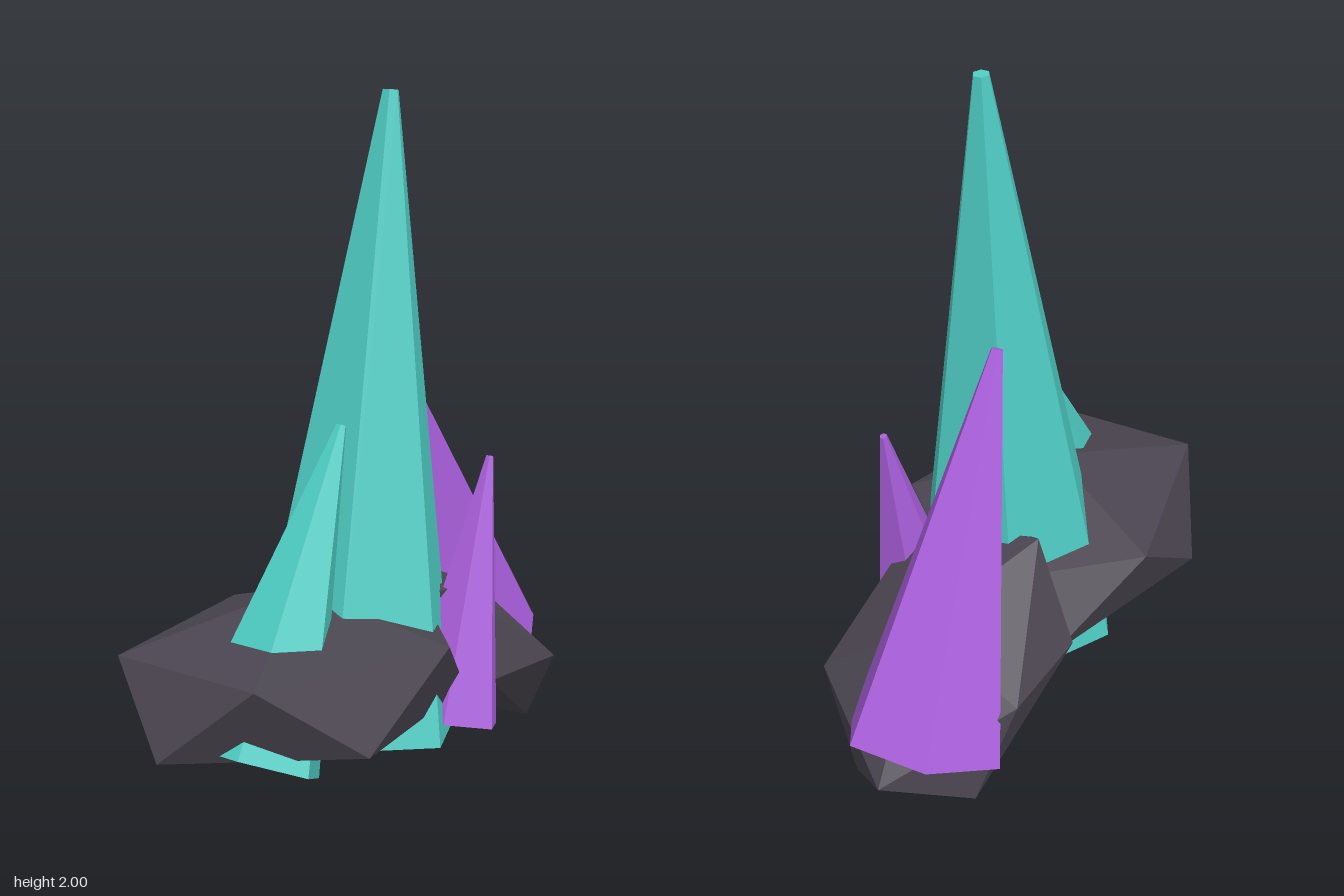
import * as THREE from 'three';

const material = (color) => new THREE.MeshStandardMaterial({ color, flatShading: true });

export function createModel() {
  const model = new THREE.Group();
  const stone = material(0x4a4550);
  const teal = material(0x4ecdc4);
  const purple = material(0xaa5fdc);

  // Squashed icosahedron, turned so that one corner points up before scaling
  function addRock(name, size, position, rotation) {
    const geometry = new THREE.IcosahedronGeometry(1, 0);
    geometry.rotateZ(-Math.atan(2 / (1 + Math.sqrt(5))));
    geometry.scale(0.64 * size, 0.252 * size, 0.482 * size);
    const rock = new THREE.Mesh(geometry, stone);
    rock.name = name;
    rock.position.set(...position);
    rock.rotation.set(...rotation);
    model.add(rock);
  }

  // Six-sided tapered crystal: base centre, base radius, length, lean towards +x
  function addCrystal(name, mat, base, radius, length, lean) {
    const geometry = new THREE.CylinderGeometry(radius * 0.073, radius, length, 6);
    geometry.translate(0, length / 2, 0);
    const crystal = new THREE.Mesh(geometry, mat);
    crystal.name = name;
    crystal.position.set(...base);
    crystal.rotation.z = -lean;
    model.add(crystal);
  }

  // Rocks
  addRock('largeRock', 1, [-0.285, 0.3625, 0], [0, 0, 0]);
  addRock('smallRock', 0.8, [0.405, 0.31, -0.02], [0.149, 0, -0.58]);

  // Crystals
  addCrystal('tallTealCrystal', teal, [-0.085, 0.16, 0.03], 0.333, 1.847, 0.098);
  addCrystal('smallTealCrystal', teal, [-0.583, 0.2, 0.089], 0.208, 0.962, 0.415);
  addCrystal('largePurpleCrystal', purple, [0.653, 0.195, -0.089], 0.245, 1.152, -0.38);
  addCrystal('smallPurpleCrystal', purple, [0.12, 0.165, 0.24], 0.155, 0.787, 0.24);

  return model;
}
